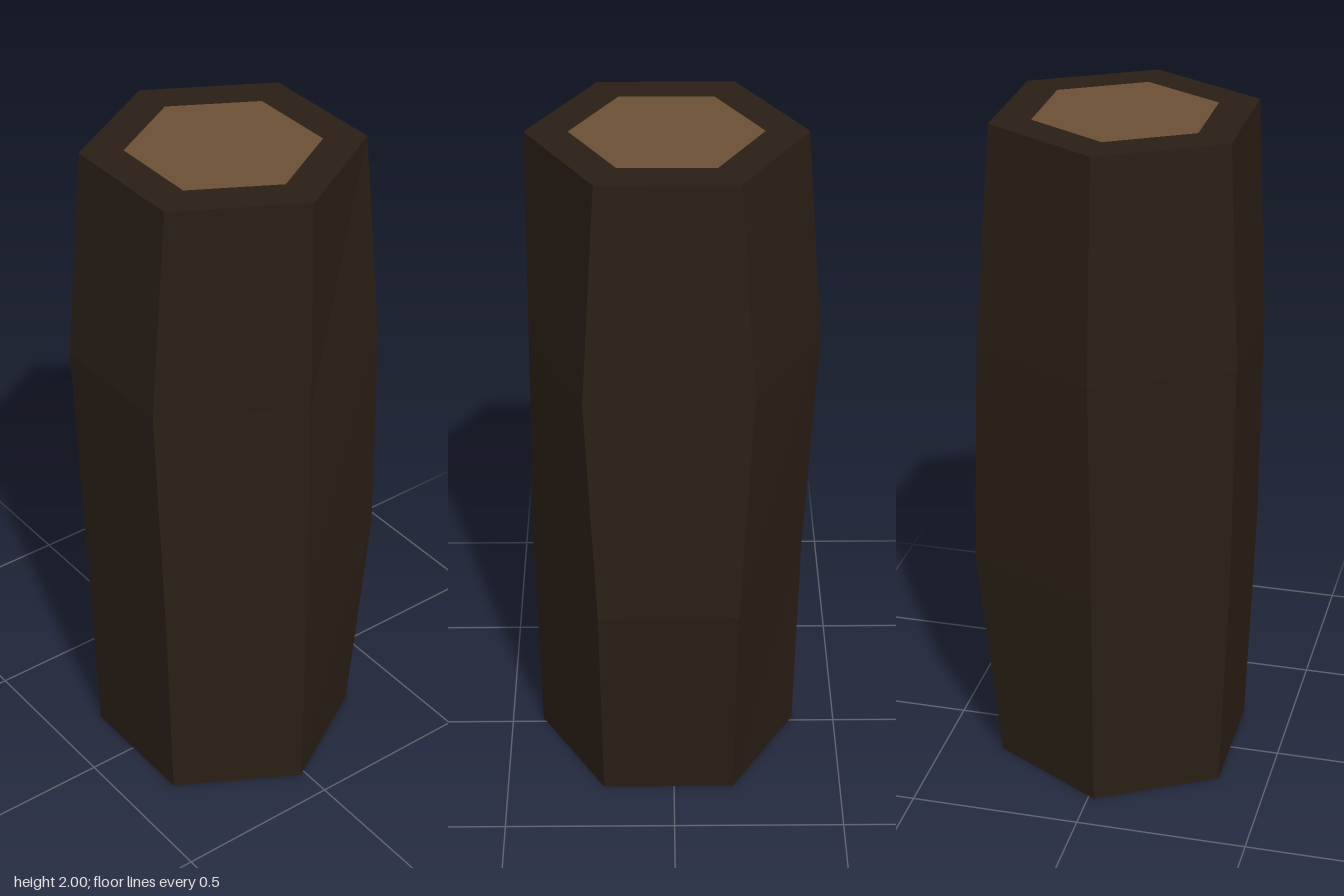
import * as THREE from 'three';

const CX = 0.017, CZ = 0.017, RADIUS = 0.388, HEART = 0.268, HEIGHT = 2;

// Regular hexagon used at both sawn ends
const endRing = y => Array.from({ length: 6 }, (_, k) => {
  const a = k * Math.PI / 3;
  return [CX + RADIUS * Math.cos(a), y, CZ + RADIUS * Math.sin(a)];
});

// Uneven hexagonal sections, bottom to top, each starting at +x and turning towards +z
const rings = [
  endRing(0),
  [[0.418, 0.017], [0.217, 0.376], [-0.18, 0.376], [-0.385, 0.017], [-0.185, -0.388], [0.218, -0.388]]
    .map(([x, z]) => [x, 0.67, z]),
  [[0.41, 0.017], [0.19, 0.387], [-0.21, 0.387], [-0.42, 0.017], [-0.22, -0.355], [0.25, -0.355]]
    .map(([x, z]) => [x, 1.36, z]),
  endRing(HEIGHT),
];

// Flat-faced skin joining successive sections
function loft(sections) {
  const positions = [];
  for (let i = 0; i < sections.length - 1; i++) {
    for (let k = 0; k < 6; k++) {
      const n = (k + 1) % 6;
      const a = sections[i][k], b = sections[i][n];
      const c = sections[i + 1][k], d = sections[i + 1][n];
      positions.push(...a, ...c, ...b, ...c, ...d, ...b);
    }
  }
  const geometry = new THREE.BufferGeometry();
  geometry.setAttribute('position', new THREE.Float32BufferAttribute(positions, 3));
  geometry.computeVertexNormals();
  return geometry;
}

export function createModel() {
  const log = new THREE.Group();
  log.name = 'log';
  const barkMaterial = new THREE.MeshStandardMaterial({ color: 0x2a1f16, flatShading: true });
  const woodMaterial = new THREE.MeshStandardMaterial({ color: 0x6b5035, flatShading: true });

  const add = (name, geometry, material) => {
    const mesh = new THREE.Mesh(geometry, material);
    mesh.name = name;
    log.add(mesh);
    return mesh;
  };

  // Bark around the trunk
  add('bark', loft(rings), barkMaterial);

  // Sawn ends: bark rim around a paler heartwood
  for (const [end, y, tilt] of [['top', HEIGHT, -Math.PI / 2], ['bottom', 0, Math.PI / 2]]) {
    const rim = add(end + 'BarkRim', new THREE.RingGeometry(HEART, RADIUS, 6), barkMaterial);
    const heart = add(end + 'Heartwood', new THREE.CircleGeometry(HEART, 6), woodMaterial);
    for (const part of [rim, heart]) {
      part.rotation.x = tilt;
      part.position.set(CX, y, CZ);
    }
  }
  return log;
}
